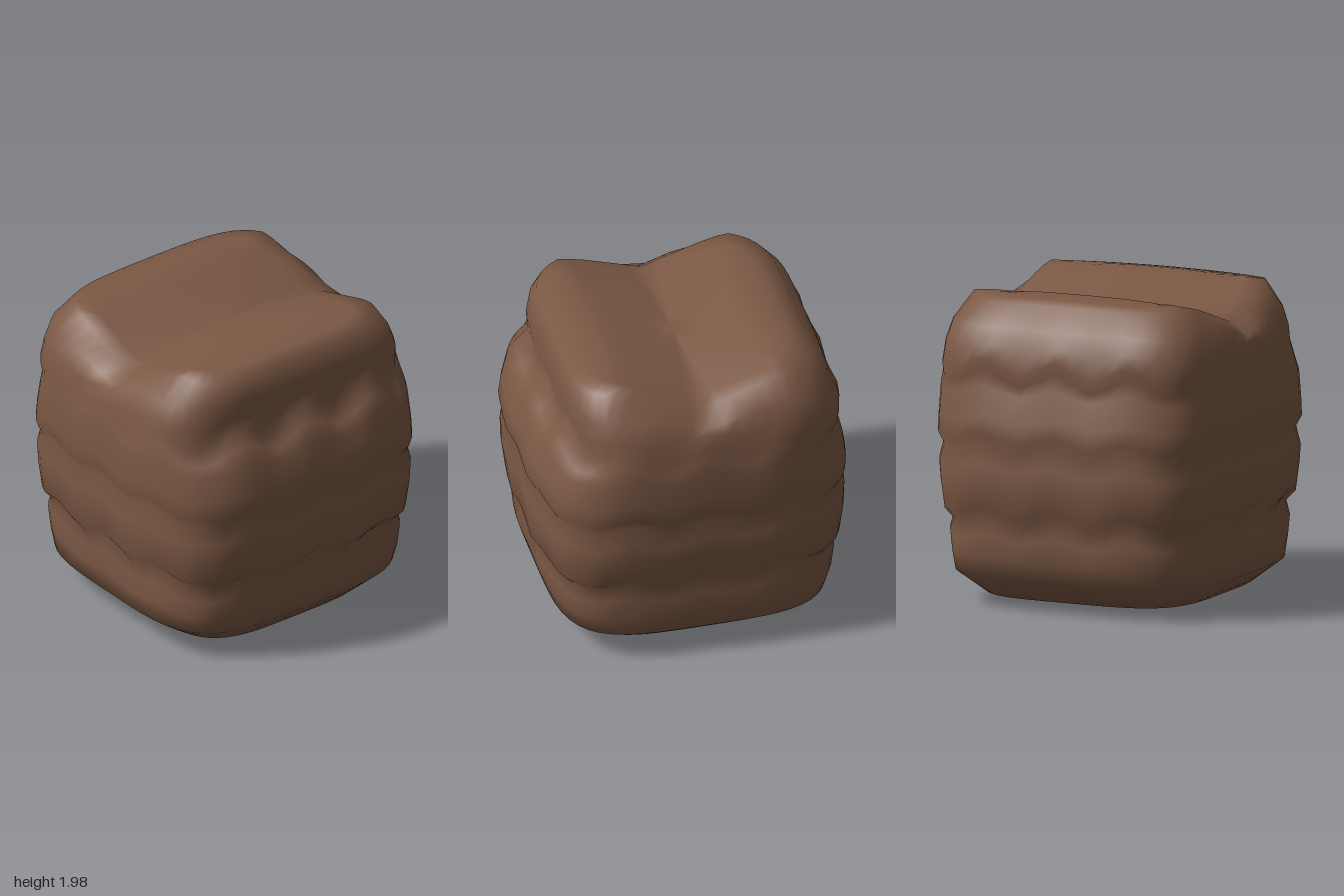
import * as THREE from 'three';

const SIDE = 16;          // segments along each of the four sides
const N = SIDE * 4;

// Rows from base to rim: [height, half width, front depth, back depth, roundness power, wave height]
const ROWS = [
  [0.06, 0.72, 0.74, 0.74, 4, 0],
  [0.20, 0.90, 0.88, 0.88, 4, 0],
  [0.33, 0.91, 0.92, 0.92, 4, 0.01],
  [0.47, 0.92, 0.935, 0.935, 4, 0.02],
  [0.56, 0.90, 0.915, 0.915, 4, 0.03],
  [0.63, 0.95, 0.97, 0.97, 4, 0.03],
  [0.80, 0.97, 0.99, 0.99, 4, 0.02],
  [0.92, 0.98, 0.99, 0.99, 4, 0.02],
  [1.04, 0.955, 0.965, 0.965, 4, 0.03],
  [1.11, 0.985, 1.00, 1.00, 4, 0.03],
  [1.22, 0.985, 0.985, 0.985, 4, 0.02],
  [1.40, 0.985, 0.94, 0.94, 4, 0.03],
  [1.48, 0.965, 0.88, 0.92, 4.2, 0.05],
  [1.56, 0.95, 0.80, 0.95, 4.5, 0.05],
  [1.67, 0.93, 0.805, 0.91, 4.8, 0.02],
  [1.79, 0.885, 0.79, 0.87, 5, 0],
  [1.94, 0.77, 0.76, 0.77, 5, 0],
];

// Height of the top: a valley runs from side to side along z = 0
function topHeight(x, z) {
  const d = Math.abs(z);
  const ridge = d < 0.54 ? 1.85 + 0.13 * d / 0.54 : 1.98 - 0.04 * (d - 0.54) / 0.22;
  const fall = 0.02 + 0.05 * Math.max(0, 1 - d / 0.54);
  return ridge - fall * Math.min(1, (x / 0.77) ** 2);
}

// Point on a rounded square outline, spaced evenly along its sides
function outline(j, power) {
  const side = Math.floor(j / SIDE);
  const u = (j % SIDE) / SIDE * 2 - 1;
  const k = (Math.abs(u) ** power + 1) ** (-1 / power);
  const a = side * Math.PI / 2;
  return [k * (u * Math.cos(a) + Math.sin(a)), k * (Math.cos(a) - u * Math.sin(a))];
}

function bodyGeometry() {
  const pos = [], index = [];
  const last = ROWS.length - 1;

  // Bulging layers with scalloped ledges
  ROWS.forEach(([h, w, front, back, power, wave], i) => {
    for (let j = 0; j < N; j++) {
      const [ox, oz] = outline(j, power);
      const x = ox * w, z = oz * (oz > 0 ? front : back);
      const along = Math.abs(ox) < Math.abs(oz) ? x : z;
      let y = h + wave * Math.cos(along * Math.PI * 4);
      if (i === last) y = topHeight(x, z);
      else if (i === last - 1) y = Math.min(y, topHeight(x, z) - 0.08);
      pos.push(x, y, z);
    }
  });

  // Shrinking rings that fill the top
  const [, w, front, back, power] = ROWS[last];
  const scales = [0.86, 0.7, 0.53, 0.36, 0.18];
  for (const s of scales) {
    for (let j = 0; j < N; j++) {
      const [ox, oz] = outline(j, power);
      const x = ox * w * s, z = oz * (oz > 0 ? front : back) * s;
      pos.push(x, topHeight(x, z), z);
    }
  }

  const rings = ROWS.length + scales.length;
  const bottom = rings * N, top = bottom + 1;
  pos.push(0, 0, 0, 0, topHeight(0, 0), 0);
  for (let j = 0; j < N; j++) {
    const k = (j + 1) % N;
    for (let i = 0; i < rings - 1; i++) {
      const a = i * N + j, b = i * N + k;
      index.push(a, b, b + N, a, b + N, a + N);
    }
    const r = (rings - 1) * N;
    index.push(bottom, k, j, top, r + j, r + k);
  }

  const geo = new THREE.BufferGeometry();
  geo.setAttribute('position', new THREE.Float32BufferAttribute(pos, 3));
  geo.setIndex(index);
  geo.computeVertexNormals();
  return geo;
}

export function createModel() {
  const group = new THREE.Group();
  group.name = 'layeredBlock';
  const brown = new THREE.MeshStandardMaterial({ color: 0x7b5844 });
  brown.name = 'brown';
  const body = new THREE.Mesh(bodyGeometry(), brown);
  body.name = 'body';
  group.add(body);
  return group;
}
